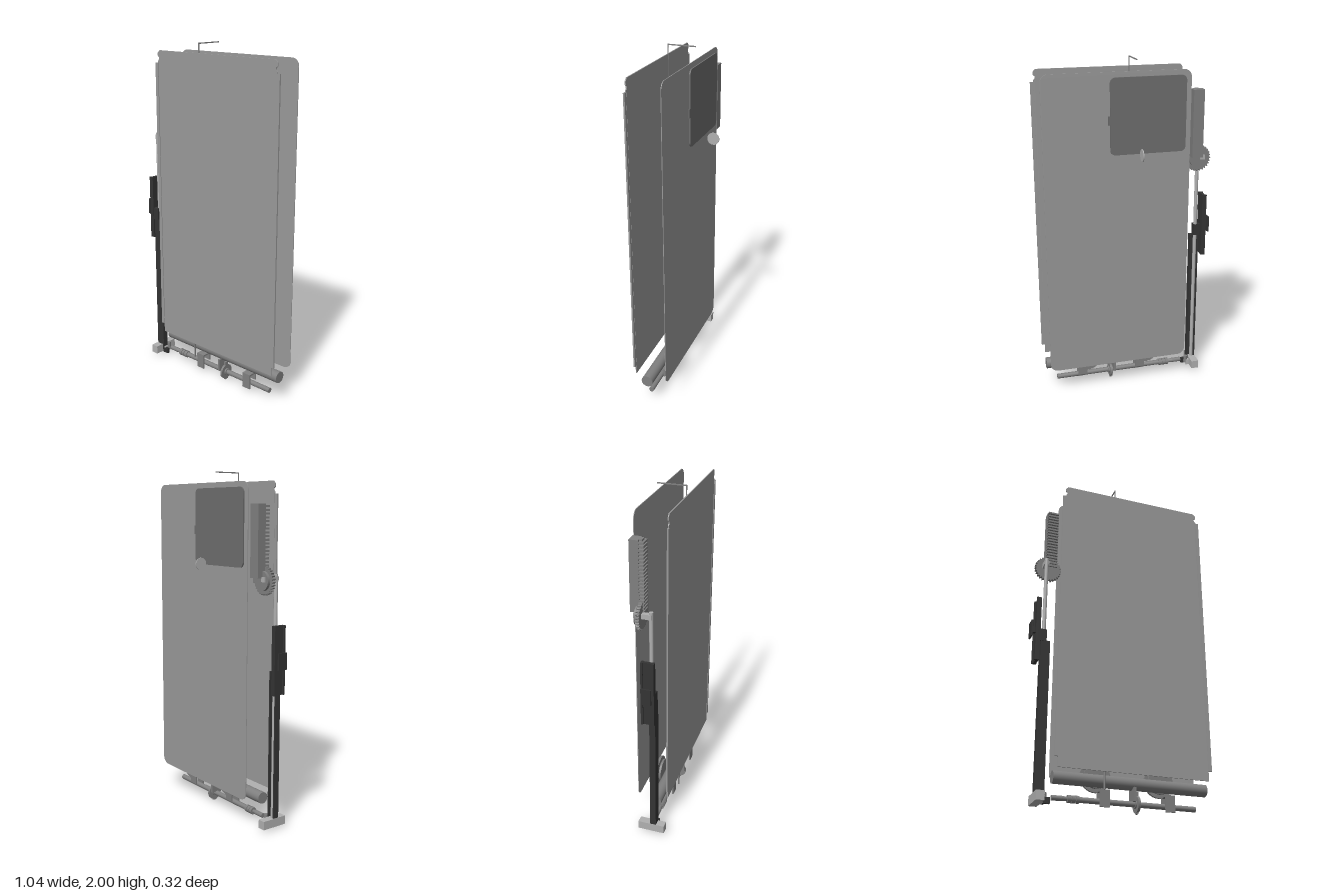
import * as THREE from 'three';

const mat = (name, color) => new THREE.MeshStandardMaterial({ name, color });

export function createModel() {
  const root = new THREE.Group();
  const panelGrey = mat('panel grey', 0x9a9a9a);
  const patchGrey = mat('patch grey', 0x6e6e6e);
  const metal = mat('metal grey', 0x808080);
  const light = mat('light grey', 0xb0b0b0);
  const dark = mat('dark grey', 0x343434);

  const add = (name, geo, material) => {
    const m = new THREE.Mesh(geo, material);
    m.name = name;
    root.add(m);
    return m;
  };
  // Box given by its limits on each axis
  const box = (name, material, x0, x1, y0, y1, z0, z1) =>
    add(name, new THREE.BoxGeometry(x1 - x0, y1 - y0, z1 - z0), material)
      .position.set((x0 + x1) / 2, (y0 + y1) / 2, (z0 + z1) / 2);
  // Cylinder between two points
  const rod = (name, material, a, b, r, r2 = r, seg = 24) => {
    const A = new THREE.Vector3(...a), B = new THREE.Vector3(...b);
    const d = B.clone().sub(A);
    const m = add(name, new THREE.CylinderGeometry(r2, r, d.length(), seg), material);
    m.position.copy(A).add(B).multiplyScalar(0.5);
    m.quaternion.setFromUnitVectors(new THREE.Vector3(0, 1, 0), d.normalize());
    return m;
  };
  // Rounded rectangle outline
  const rounded = (x0, x1, y0, y1, r) => {
    const s = new THREE.Shape();
    s.absarc(x1 - r, y1 - r, r, 0, Math.PI / 2);
    s.absarc(x0 + r, y1 - r, r, Math.PI / 2, Math.PI);
    s.absarc(x0 + r, y0 + r, r, Math.PI, Math.PI * 1.5);
    s.absarc(x1 - r, y0 + r, r, Math.PI * 1.5, Math.PI * 2);
    return s;
  };
  const slab = (name, material, shape, z0, z1) => {
    const g = new THREE.ExtrudeGeometry(shape, { depth: z1 - z0, bevelEnabled: false, curveSegments: 8 });
    add(name, g, material).position.z = z0;
  };

  // Front panel with notched top corners and side strips
  const front = new THREE.Shape();
  const half = [[0.43, 0.195], [0.43, 1.885], [0.422, 1.895], [0.422, 1.905], [0.432, 1.912], [0.432, 1.93], [0.418, 1.945]];
  half.forEach(([x, y], i) => (i ? front.lineTo(0.07 + x, y) : front.moveTo(0.07 + x, y)));
  [...half].reverse().forEach(([x, y]) => front.lineTo(0.07 - x, y));
  slab('frontPanel', panelGrey, front, 0.142, 0.148);
  for (const s of [-1, 1]) {
    const a = 0.07 + s * 0.428, b = 0.07 + s * 0.449;
    box('frontPanelStrip', panelGrey, Math.min(a, b), Math.max(a, b), 0.25, 1.875, 0.143, 0.152);
  }

  // Back panel with its raised patch
  slab('backPanel', panelGrey, rounded(-0.355, 0.495, 0.16, 1.94, 0.045), -0.04, -0.036);
  slab('backPatch', patchGrey, rounded(-0.325, 0.115, 1.48, 1.91, 0.03), -0.048, -0.04);
  box('patchTab', patchGrey, 0.11, 0.126, 1.65, 1.7, -0.047, -0.04);

  // Wire hook over the top, hanging wire and thin discs
  box('hookUpright', metal, -0.047, -0.042, 1.09, 2, 0.139, 0.144);
  box('hookArm', metal, -0.047, -0.042, 1.994, 2, -0.02, 0.144);
  rod('hangingWire', metal, [-0.103, 0.1, 0.138], [-0.103, 1.06, 0.138], 0.005, 0.005, 10);
  rod('rearDisc', light, [-0.048, 1.49, -0.125], [-0.043, 1.49, -0.125], 0.035);
  rod('innerDisc', light, [-0.048, 1.175, 0.11], [-0.043, 1.175, 0.11], 0.019);

  // Large roller with two stepped pulleys behind
  rod('roller', metal, [-0.37, 0.158, 0.075], [0.507, 0.158, 0.075], 0.034, 0.034, 32);
  for (const x of [-0.115, 0.253]) {
    rod('pulleyLarge', metal, [x, 0.195, 0.011], [x, 0.195, 0.025], 0.086, 0.086, 32);
    rod('pulleyHub', metal, [x, 0.195, 0.024], [x, 0.195, 0.031], 0.04);
    rod('pulleySmall', metal, [x, 0.195, 0.03], [x, 0.195, 0.043], 0.068, 0.068, 32);
  }

  // Lower shaft with coupling, clips and collars
  const Y = 0.05, Z = 0.078;
  rod('lowerShaft', metal, [-0.22, Y, Z], [0.44, Y, Z], 0.015);
  rod('shaftTip', metal, [-0.37, Y, Z], [-0.315, Y, Z], 0.014);
  rod('shaftTaper', metal, [-0.315, Y, Z], [-0.275, Y, Z], 0.014, 0.009);
  for (let i = 0; i < 3; i++) {
    const x = -0.285 + i * 0.022;
    rod('couplingRing', metal, [x, Y, Z], [x + 0.018, Y, Z], 0.021, 0.021, 12);
  }
  rod('couplingCore', metal, [-0.285, Y, Z], [-0.22, Y, Z], 0.016);
  for (const x of [-0.115, 0.255]) {
    box('clipFront', metal, x, x + 0.055, 0.018, 0.11, 0.098, 0.107);
    box('clipTop', metal, x, x + 0.055, 0.101, 0.11, 0.045, 0.107);
    box('clipBack', metal, x, x + 0.055, 0.06, 0.11, 0.045, 0.053);
  }
  rod('collarDisc', metal, [0.093, Y, Z], [0.106, Y, Z], 0.045);
  rod('collarSmall', metal, [0.085, Y, Z], [0.115, Y, Z], 0.022);
  box('collarLever', metal, 0.071, 0.083, 0.06, 0.135, 0.04, 0.118);
  box('collarFinger', metal, 0.094, 0.105, 0, 0.115, 0.065, 0.09);

  // Base foot under the column
  box('foot', light, -0.47, -0.425, 0.015, 0.065, 0, 0.158);
  box('footStep', light, -0.43, -0.405, 0.015, 0.05, 0.055, 0.105);
  box('footCatch', dark, -0.42, -0.383, 0.012, 0.045, 0.09, 0.107);
  rod('footPin', metal, [-0.405, 0.03, 0.07], [-0.405, 0.075, 0.07], 0.012);

  // Dark open channel column with a rod sliding inside
  box('columnFront', dark, -0.468, -0.415, 0.03, 0.912, 0.098, 0.108);
  for (const x of [-0.468, -0.423])
    box('columnFlange', dark, x, x + 0.008, 0.03, 0.912, 0.073, 0.1);
  rod('columnRod', light, [-0.448, 0.06, 0.083], [-0.448, 1.45, 0.083], 0.011);

  // Slider with raised edges, clamp and knob
  box('sliderPlate', dark, -0.492, -0.476, 0.79, 1.175, 0.042, 0.108);
  for (const z of [0.037, 0.1])
    box('sliderRail', dark, -0.5, -0.473, 0.79, 1.175, z, z + 0.012);
  box('sliderClamp', dark, -0.48, -0.436, 0.91, 0.98, 0.07, 0.11);
  box('sliderNeck', dark, -0.518, -0.49, 0.965, 1.0, 0.065, 0.083);
  box('sliderKnob', dark, -0.524, -0.515, 0.935, 1.03, 0.045, 0.103);

  // Toothed wheel on the rod's top axle
  const gear = new THREE.Shape();
  const teeth = 28;
  for (let i = 0; i < teeth * 4; i++) {
    const a = (i / (teeth * 4)) * Math.PI * 2, r = i % 4 < 2 ? 0.079 : 0.071;
    const x = -0.425 + r * Math.cos(a), y = 1.415 + r * Math.sin(a);
    if (i) gear.lineTo(x, y); else gear.moveTo(x, y);
  }
  slab('gear', metal, gear, 0.014, 0.034);
  rod('gearHub', metal, [-0.425, 1.415, -0.002], [-0.425, 1.415, 0.014], 0.055);
  box('gearAxle', light, -0.462, -0.434, 1.41, 1.438, -0.01, 0.09);
  box('gearPin', metal, -0.366, -0.354, 1.4, 1.43, 0, 0.03);

  // Upright rack with a row of teeth at its front
  box('rackBody', metal, -0.437, -0.373, 1.43, 1.822, -0.036, 0.014);
  box('rackSpine', metal, -0.42, -0.385, 1.43, 1.822, 0.01, 0.03);
  for (let i = 0; i < 20; i++) {
    const y = 1.432 + i * 0.0195;
    box('rackTooth', metal, -0.437, -0.373, y, y + 0.011, 0.012, 0.042);
  }
  return root;
}
